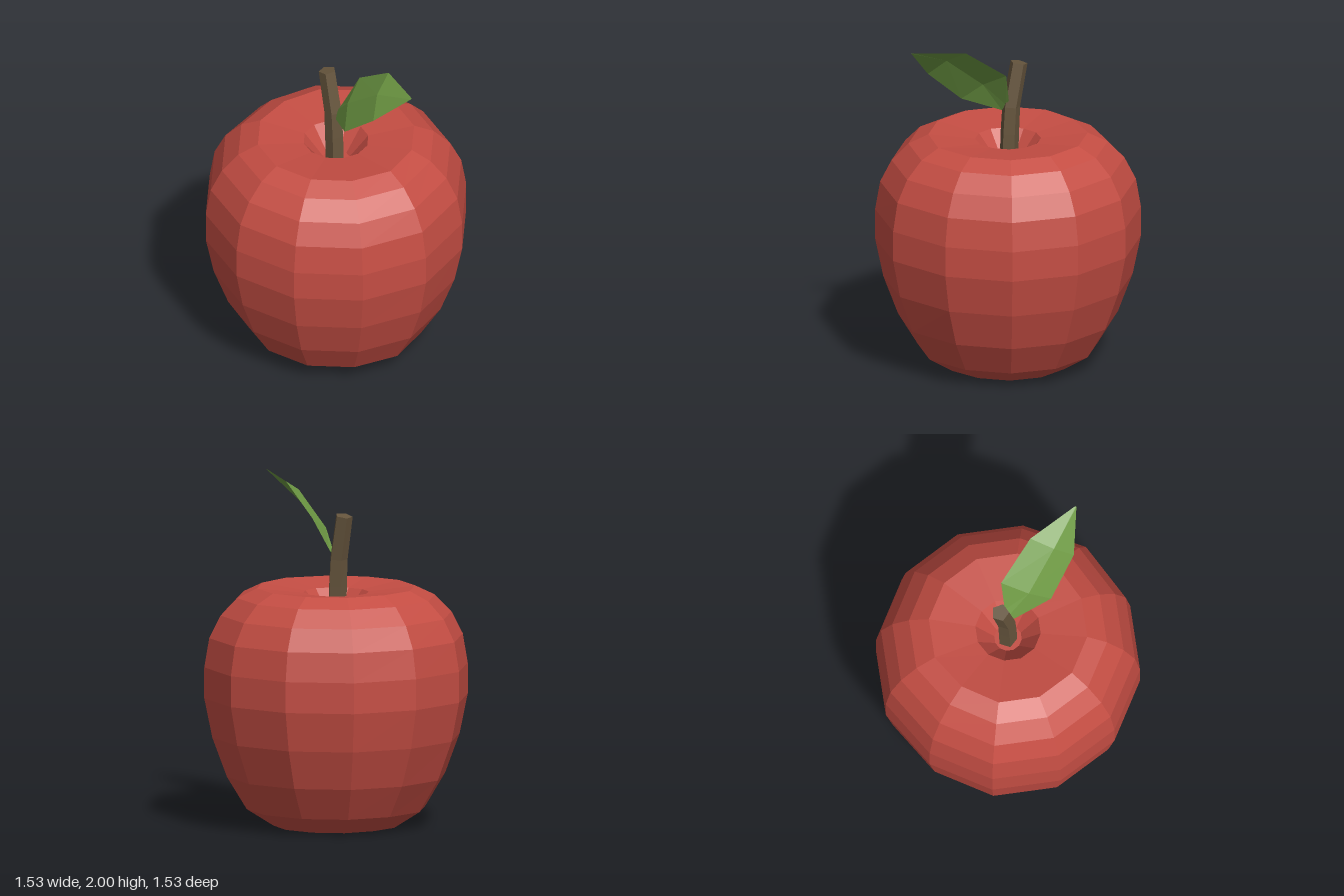
import * as THREE from 'three';

// Skin a stack of equal-sized rings and close both ends (rings run counter-clockwise seen from the last end).
function loft(name, rings, color) {
  const pos = [];
  const tri = (...pts) => pts.forEach((p) => pos.push(...p));
  const n = rings[0].length;
  const centre = (ring) => [0, 1, 2].map((k) => ring.reduce((s, p) => s + p[k], 0) / n);
  const first = rings[0], last = rings[rings.length - 1];
  const c0 = centre(first), c1 = centre(last);
  for (let j = 0; j < n; j++) {
    const k = (j + 1) % n;
    for (let i = 0; i < rings.length - 1; i++) {
      const lo = rings[i], hi = rings[i + 1];
      tri(lo[j], lo[k], hi[k]);
      tri(lo[j], hi[k], hi[j]);
    }
    tri(c0, first[k], first[j]);
    tri(c1, last[j], last[k]);
  }
  const geo = new THREE.BufferGeometry();
  geo.setAttribute('position', new THREE.Float32BufferAttribute(pos, 3));
  geo.computeVertexNormals();
  const mesh = new THREE.Mesh(geo, new THREE.MeshStandardMaterial({ color, flatShading: true }));
  mesh.name = name;
  return mesh;
}

export function createModel() {
  const model = new THREE.Group();
  model.name = 'apple';

  // Fruit: twelve-sided, slightly off-centre, with a dimple in the top
  const profile = [
    [0.363, 0], [0.52, 0.1], [0.635, 0.29], [0.72, 0.52], [0.767, 0.75], [0.767, 0.93],
    [0.738, 1.1], [0.672, 1.23], [0.575, 1.33], [0.46, 1.385], [0.19, 1.355], [0.08, 1.22],
  ];
  model.add(loft('fruit', profile.map(([r, y]) =>
    Array.from({ length: 12 }, (_, i) => {
      const a = (i * Math.PI) / 6;
      const shift = i % 6 === 0 && r > 0.3 ? -0.003 : -0.016;
      return [r * Math.cos(a) + shift, y, -r * Math.sin(a)];
    })), 0xc44d43));

  // Stem: bent five-sided stick; each section is centre x, y, radius, tilt of the cut
  const sections = [[-0.02, 1.18, 0.056, 0], [-0.027, 1.39, 0.056, 0], [-0.037, 1.55, 0.054, 0.08], [-0.09, 1.807, 0.051, 0.2]];
  model.add(loft('stem', sections.map(([x, y, r, tilt]) =>
    Array.from({ length: 5 }, (_, i) => {
      const a = Math.PI / 2 + (i * 2 * Math.PI) / 5;
      const dx = r * Math.cos(a);
      return [x + dx, y + dx * tilt, -r * Math.sin(a)];
    })), 0x66553d));

  // Leaf: thin blade with a raised midrib; each row is back edge, midrib, front edge
  const rows = [
    [[0.0, 1.6, -0.035], [0.0, 1.575, 0.0], [0.01, 1.525, 0.025]],
    [[0.065, 1.785, -0.11], [0.13, 1.71, 0.04], [0.215, 1.6, 0.138]],
    [[0.33, 1.97, -0.098], [0.38, 1.905, 0.035], [0.45, 1.8, 0.126]],
    [[0.635, 2.0, -0.004], [0.637, 1.998, 0], [0.638, 1.995, 0.004]],
  ];
  model.add(loft('leaf', rows.map(([back, mid, front], i) => {
    const t = i === 3 ? 0.002 : 0.012;
    const under = [mid[0] + 0.4 * t, mid[1] - 0.6 * t, mid[2] - 0.7 * t];
    return [mid, front, under, back];
  }), 0x6d9843));

  return model;
}
